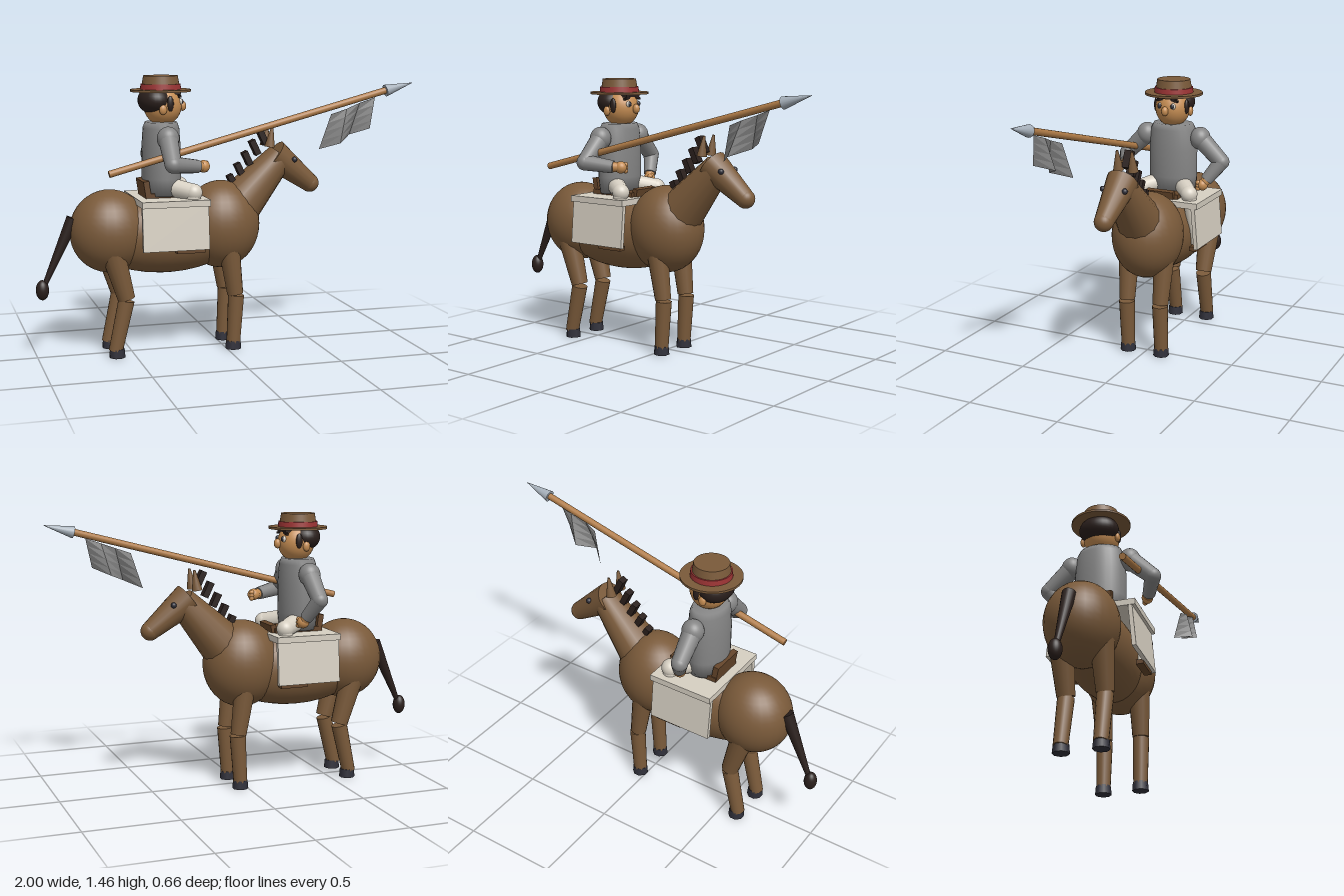
import * as THREE from 'three';

const mat = (name, color, extra = {}) => {
  const m = new THREE.MeshStandardMaterial({ color, ...extra });
  m.name = name;
  return m;
};

export function createModel() {
  const brown = mat('coat brown', 0x7a5a3a);
  const dark = mat('dark hair', 0x2a1f1c);
  const hoof = mat('hoof slate', 0x30303a);
  const leather = mat('leather', 0x64452a);
  const cream = mat('cream', 0xd6cfc2);
  const grey = mat('shirt grey', 0x858585, { side: THREE.DoubleSide, flatShading: false });
  const skin = mat('skin', 0xc48c52);
  const wood = mat('lance wood', 0xb07c48);
  const red = mat('hat band red', 0x9c3434);
  const steel = mat('steel', 0xa6b0ba);

  const model = new THREE.Group();
  model.name = 'lancerOnHorse';
  const horse = new THREE.Group(), rider = new THREE.Group(), lance = new THREE.Group();
  horse.name = 'horse'; rider.name = 'rider'; lance.name = 'lance';
  model.add(horse, rider, lance);

  const add = (parent, name, geo, m, pos = [0, 0, 0]) => {
    const mesh = new THREE.Mesh(geo, m);
    mesh.name = name;
    mesh.position.set(...pos);
    parent.add(mesh);
    return mesh;
  };
  const ball = (parent, name, m, pos, r) =>
    add(parent, name, new THREE.SphereGeometry(1, 28, 20), m, pos).scale.set(...(r.length ? r : [r, r, r]));
  const box = (parent, name, m, pos, size, rotX = 0, rotZ = 0) =>
    add(parent, name, new THREE.BoxGeometry(...size), m, pos).rotation.set(rotX, 0, rotZ);
  // Tapered round bar from a to b
  const limb = (parent, name, m, a, b, ra, rb, sides = 16) => {
    const A = new THREE.Vector3(...a), B = new THREE.Vector3(...b), d = B.clone().sub(A);
    const mesh = add(parent, name, new THREE.CylinderGeometry(rb, ra, d.length(), sides), m);
    mesh.position.copy(A.add(B).multiplyScalar(0.5));
    mesh.quaternion.setFromUnitVectors(new THREE.Vector3(0, 1, 0), d.normalize());
    return mesh;
  };

  // Horse body
  ball(horse, 'rump', brown, [-0.61, 0.655, 0], [0.21, 0.218, 0.19]);
  ball(horse, 'belly', brown, [-0.31, 0.63, 0], [0.42, 0.21, 0.178]);
  ball(horse, 'chest', brown, [-0.005, 0.665, 0], [0.21, 0.235, 0.192]);

  // Neck and head
  limb(horse, 'neck', brown, [0.1, 0.77, 0], [0.33, 1.02, 0], 0.125, 0.075, 14);
  limb(horse, 'horseHead', brown, [0.29, 1.03, 0], [0.5, 0.868, 0], 0.085, 0.05);
  ball(horse, 'muzzle', brown, [0.5, 0.868, 0], 0.05);

  // Mane tufts along the crest
  for (let i = 0; i < 5; i++) {
    box(horse, 'maneTuft', dark, [0.055 + i * 0.043, 0.9 + i * 0.057, 0],
      [0.032, 0.06 + i * 0.008, 0.045], 0, 0.45);
  }

  // Paired horse parts
  for (const s of [1, -1]) {
    ball(horse, 'horseEye', hoof, [0.39, 1.005, 0.062 * s], 0.015);
    limb(horse, 'horseEar', brown, [0.255, 1.075, 0.042 * s], [0.27, 1.18, 0.042 * s], 0.028, 0.006, 10);

    limb(horse, 'frontUpperLeg', brown, [0, 0.64, 0.105 * s], [0.047, 0.3, 0.1 * s], 0.062, 0.043);
    limb(horse, 'frontLowerLeg', brown, [0.052, 0.292, 0.1 * s], [0.037, 0.035, 0.1 * s], 0.043, 0.037);
    limb(horse, 'rearUpperLeg', brown, [-0.625, 0.6, 0.105 * s], [-0.545, 0.31, 0.1 * s], 0.066, 0.046);
    limb(horse, 'rearLowerLeg', brown, [-0.545, 0.3, 0.1 * s], [-0.605, 0.035, 0.1 * s], 0.043, 0.037);
    for (const x of [0.037, -0.597])
      limb(horse, 'hoof', hoof, [x, 0, 0.1 * s], [x, 0.046, 0.1 * s], 0.043, 0.039, 8)
        .rotation.y = Math.PI / 8;
  }

  // Tail
  limb(horse, 'tail', dark, [-0.8, 0.73, 0], [-0.955, 0.385, 0], 0.036, 0.013);
  ball(horse, 'tailTuft', dark, [-0.967, 0.36, 0], [0.034, 0.053, 0.034]);

  // Saddle cloth and saddle
  box(horse, 'saddleCloth', cream, [-0.303, 0.815, 0], [0.36, 0.033, 0.465]);
  for (const s of [1, -1]) {
    box(horse, 'clothSide', cream, [-0.305, 0.69, 0.215 * s], [0.35, 0.235, 0.022], -0.09 * s);
    box(horse, 'stirrup', leather, [-0.225, 0.567, 0.2 * s], [0.15, 0.024, 0.04]);
  }
  box(horse, 'saddleSeat', leather, [-0.3, 0.843, 0], [0.27, 0.026, 0.2]);
  box(horse, 'saddleBack', leather, [-0.425, 0.875, 0], [0.03, 0.09, 0.19], 0, 0.15);
  box(horse, 'saddlePommel', leather, [-0.163, 0.85, 0], [0.03, 0.05, 0.16], 0, -0.2);

  // Torso
  const profile = [[0, 0.84], [0.125, 0.84], [0.137, 0.93], [0.137, 1.08], [0.127, 1.19], [0.112, 1.22], [0, 1.222]];
  add(rider, 'torso', new THREE.LatheGeometry(profile.map(p => new THREE.Vector2(...p)), 28), grey, [-0.33, 0, 0])
    .scale.x = 0.74;

  // Legs
  for (const s of [1, -1]) {
    limb(rider, 'thigh', cream, [-0.3, 0.885, 0.07 * s], [-0.195, 0.862, 0.155 * s], 0.05, 0.045);
    ball(rider, 'knee', cream, [-0.195, 0.862, 0.155 * s], 0.046);
    limb(rider, 'shin', cream, [-0.195, 0.862, 0.155 * s], [-0.22, 0.58, 0.188 * s], 0.04, 0.025);
  }

  // Arms: shoulder, elbow, hand
  const arms = [
    { s: 1, elbow: [-0.335, 1.025, 0.285], wrist: [-0.19, 1.005, 0.222], hand: [-0.155, 1.003, 0.203] },
    { s: -1, elbow: [-0.335, 1.025, -0.285], wrist: [-0.29, 0.925, -0.215], hand: [-0.28, 0.9, -0.198] },
  ];
  for (const { s, elbow, wrist, hand } of arms) {
    const shoulder = [-0.33, 1.145, 0.16 * s];
    ball(rider, 'shoulder', grey, shoulder, [0.058, 0.062, 0.056]);
    limb(rider, 'upperArm', grey, shoulder, elbow, 0.052, 0.043);
    ball(rider, 'elbow', grey, elbow, 0.043);
    limb(rider, 'forearm', grey, elbow, wrist, 0.043, 0.034);
    limb(rider, 'wrist', skin, wrist, hand, 0.027, 0.025);
    ball(rider, 'hand', skin, hand, [0.033, 0.032, 0.03]);
    for (let i = 0; i < 3; i++)
      ball(rider, 'finger', skin, [hand[0] + 0.018, hand[1] - 0.018 + i * 0.016, hand[2] - 0.018 * s], 0.014);
  }

  // Head
  ball(rider, 'head', skin, [-0.32, 1.305, 0], [0.1, 0.103, 0.095]);
  ball(rider, 'hair', dark, [-0.362, 1.333, 0], [0.088, 0.075, 0.107]);
  box(rider, 'fringe', dark, [-0.27, 1.372, 0], [0.07, 0.02, 0.11]);
  ball(rider, 'nose', skin, [-0.213, 1.3, 0], [0.02, 0.026, 0.019]);
  for (const s of [1, -1]) {
    ball(rider, 'ear', skin, [-0.34, 1.288, 0.096 * s], [0.02, 0.026, 0.014]);
    ball(rider, 'sideburn', dark, [-0.3, 1.318, 0.09 * s], [0.018, 0.04, 0.012]);
    ball(rider, 'eyeWhite', cream, [-0.235, 1.325, 0.039 * s], [0.012, 0.017, 0.014]);
    ball(rider, 'pupil', hoof, [-0.227, 1.326, 0.038 * s], [0.009, 0.013, 0.011]);
    box(rider, 'brow', dark, [-0.242, 1.356, 0.045 * s], [0.016, 0.011, 0.04], 0.2 * s);
  }

  // Flat straw hat
  const ring = (name, m, y0, y1, r0, r1) =>
    limb(rider, name, m, [-0.33, y0, 0], [-0.33, y1, 0], r0, r1, 36);
  ring('hatBrim', brown, 1.377, 1.389, 0.158, 0.158);
  ring('hatBand', red, 1.388, 1.417, 0.107, 0.104);
  ring('hatCrown', brown, 1.388, 1.46, 0.102, 0.09);

  // Lance shaft and point
  limb(lance, 'shaft', wood, [-0.65, 0.98, 0.22], [0.86, 1.379, 0.207], 0.018, 0.018);
  limb(lance, 'point', steel, [0.845, 1.374, 0.207], [1, 1.414, 0.206], 0.032, 0.001);

  // Pennant: folds deepen away from the shaft
  const cols = 3, rows = 4, folds = [-0.036, 0.054, -0.036, 0.04];
  const cloth = new THREE.PlaneGeometry(1, 1, cols, rows);
  const p = cloth.attributes.position;
  for (let i = 0; i < p.count; i++) {
    const u = p.getX(i) + 0.5, v = 0.5 - p.getY(i);
    const x = 0.54 + 0.24 * u - v * (0.055 - 0.015 * u);
    const y = 1.255 + 0.085 * u - v * (0.185 - 0.025 * u);
    p.setXYZ(i, x, y, 0.213 + folds[Math.round(u * cols)] * (0.2 + 0.8 * v));
  }
  const flat = cloth.toNonIndexed();
  flat.computeVertexNormals();
  add(lance, 'pennant', flat, grey);

  return model;
}
